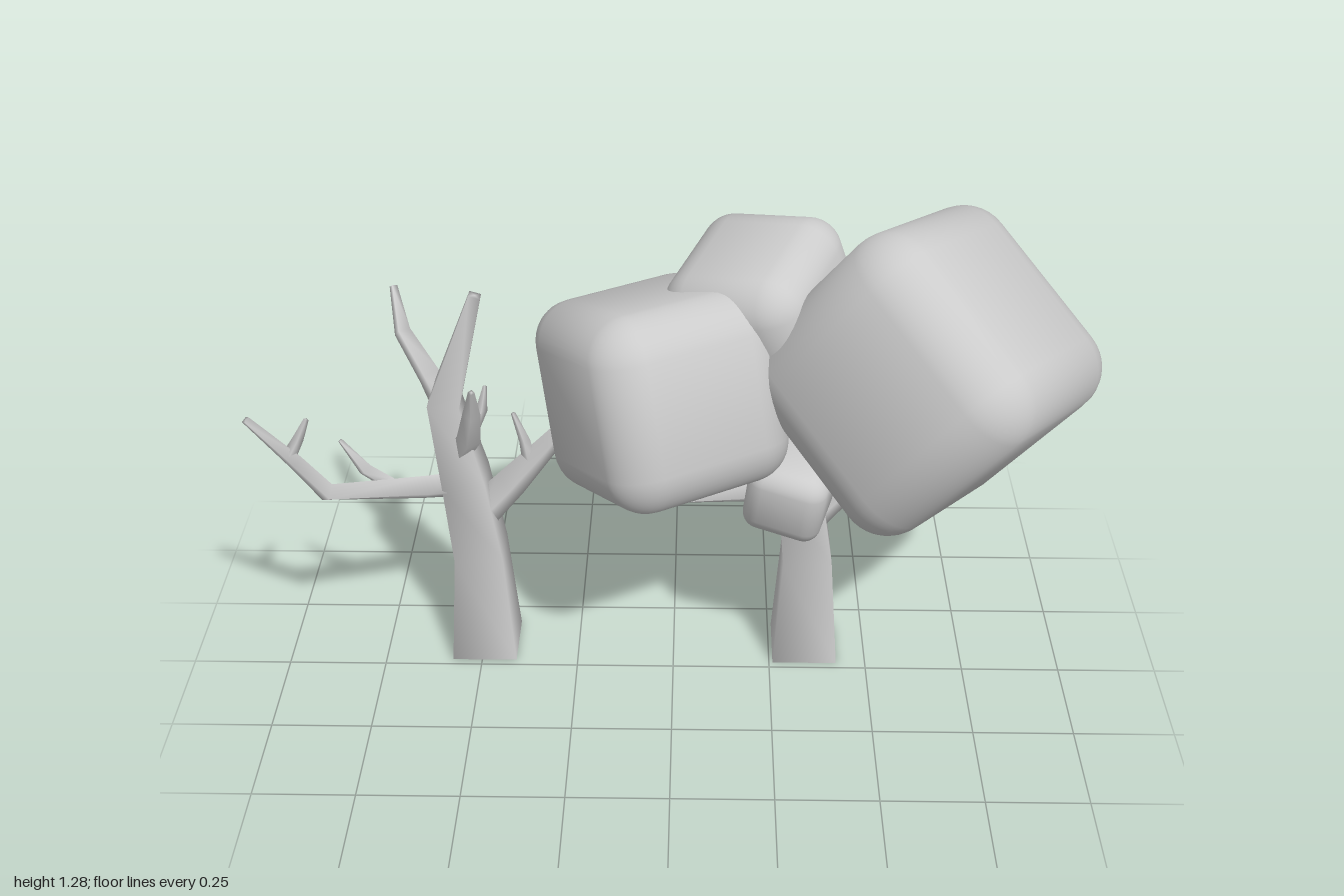
import * as THREE from 'three';
import { RoundedBoxGeometry } from 'three/addons/geometries/RoundedBoxGeometry.js';

const material = new THREE.MeshStandardMaterial({ color: 0xcccccc, side: THREE.DoubleSide });
const V = (p) => new THREE.Vector3(p[0], p[1], p[2]);

// Four-sided tapering limb through points [x, y, z, radius], open at its foot, closed at its tip
function limb(name, points, turn = 0) {
  const n = points.length, pos = [], index = [];
  for (let i = 0; i <= n; i++) {
    const k = Math.min(i, n - 1), c = V(points[k]);
    const t = V(points[Math.min(k + 1, n - 1)]).sub(V(points[Math.max(k - 1, 0)])).normalize();
    if (turn && k === 0) t.set(0, 1, 0);
    const u = new THREE.Vector3().crossVectors(t, new THREE.Vector3(0, 0, 1)).normalize();
    const v = new THREE.Vector3().crossVectors(t, u);
    const r = i === n ? 0 : points[k][3];
    for (let j = 0; j < 4; j++) {
      const a = turn + j * Math.PI / 2;
      const p = c.clone().addScaledVector(u, r * Math.cos(a)).addScaledVector(v, r * Math.sin(a));
      pos.push(p.x, p.y, p.z);
      if (i < n) {
        const A = i * 4 + j, B = i * 4 + (j + 1) % 4;
        index.push(A, B, A + 4, B, B + 4, A + 4);
      }
    }
  }
  const g = new THREE.BufferGeometry();
  g.setAttribute('position', new THREE.Float32BufferAttribute(pos, 3));
  g.setIndex(index);
  g.computeVertexNormals();
  const mesh = new THREE.Mesh(g, material);
  mesh.name = name;
  return mesh;
}

// Trunk with its forked branches
function bareTree(name) {
  const tree = new THREE.Group();
  tree.name = name;
  tree.add(
    limb('trunk', [[-0.493, 0, -0.102, 0.117], [-0.495, 0.3, -0.102, 0.087], [-0.522, 0.52, -0.102, 0.076],
      [-0.56, 0.74, -0.1, 0.055], [-0.47, 1.03, -0.1, 0.02]], Math.PI / 4),
    limb('longBranch', [[-0.52, 0.5, -0.1, 0.038], [-0.62, 0.51, -0.065, 0.034], [-0.84, 0.565, 0.045, 0.027],
      [-0.9, 0.68, 0.085, 0.021], [-0.995, 0.81, 0.112, 0.011]]),
    limb('longBranchOuterTwig', [[-0.91, 0.695, 0.085, 0.017], [-0.885, 0.74, 0.08, 0.013], [-0.862, 0.79, 0.075, 0.006]]),
    limb('longBranchInnerTwig', [[-0.69, 0.535, -0.03, 0.02], [-0.755, 0.59, -0.02, 0.018], [-0.81, 0.67, -0.025, 0.006]]),
    limb('shortBranch', [[-0.5, 0.4, -0.1, 0.05], [-0.41, 0.5, -0.1, 0.042], [-0.31, 0.61, -0.115, 0.028],
      [-0.235, 0.705, -0.12, 0.012]]),
    limb('shortBranchTwig', [[-0.36, 0.56, -0.105, 0.018], [-0.37, 0.62, -0.11, 0.014], [-0.395, 0.7, -0.11, 0.006]]),
    limb('rearBranch', [[-0.55, 0.7, -0.1, 0.035], [-0.6, 0.78, -0.15, 0.03], [-0.67, 0.865, -0.22, 0.022],
      [-0.695, 0.955, -0.29, 0.01]]),
    limb('frontBranch', [[-0.53, 0.6, -0.09, 0.03], [-0.5, 0.66, -0.05, 0.03], [-0.485, 0.75, -0.02, 0.022],
      [-0.475, 0.84, 0.03, 0.008]]),
    limb('frontBranchTwig', [[-0.495, 0.68, -0.05, 0.018], [-0.465, 0.74, -0.06, 0.014], [-0.455, 0.8, -0.07, 0.005]])
  );
  return tree;
}

// Rounded cube of leaves, oriented by one edge direction and a second, roughly square to it
function leafCube(name, size, radius, center, edgeA, edgeB) {
  const a = V(edgeA).normalize();
  const c = new THREE.Vector3().crossVectors(a, V(edgeB)).normalize();
  const b = new THREE.Vector3().crossVectors(c, a);
  const g = new RoundedBoxGeometry(size, size, size, 5, radius);
  // Lean the normals outward for soft, pillow-like shading
  const { position, normal } = g.attributes;
  const p = new THREE.Vector3(), n = new THREE.Vector3();
  for (let i = 0; i < position.count; i++) {
    p.fromBufferAttribute(position, i).normalize();
    n.fromBufferAttribute(normal, i).lerp(p, 0.4).normalize();
    normal.setXYZ(i, n.x, n.y, n.z);
  }
  const mesh = new THREE.Mesh(g, material);
  mesh.quaternion.setFromRotationMatrix(new THREE.Matrix4().makeBasis(a, b, c));
  mesh.position.set(...center);
  mesh.name = name;
  return mesh;
}

export function createModel() {
  const model = new THREE.Group();
  model.name = 'treePair';
  model.add(bareTree('bareTree'));

  // Leafy tree: same wood, moved aside, with blocks of leaves
  const wood = bareTree('leafyTreeWood');
  wood.position.x = 0.835;
  const leaves = new THREE.Group();
  leaves.name = 'leaves';
  leaves.add(
    leafCube('largeLeaves', 0.572, 0.115, [0.592, 0.898, 0], [-0.26, 0.09, 0.38], [-0.27, 0.28, -0.3]),
    leafCube('middleLeaves', 0.47, 0.1, [-0.028, 0.828, -0.01], [-0.15, 0.95, -0.25], [0.5, 0, 0.87]),
    leafCube('rearLeaves', 0.36, 0.08, [0.218, 0.98, -0.14], [-0.3, 0.9, 0.16], [0.5, 0, -0.85]),
    leafCube('smallFrontLeaves', 0.195, 0.042, [0.287, 0.577, 0.02], [0.1, 0.97, 0.2], [0.95, 0, 0.3]),
    leafCube('smallRearLeaves', 0.145, 0.032, [0.185, 0.58, -0.17], [-0.3, 0.9, -0.3], [0.8, 0, -0.6]),
    leafCube('smallSideLeaves', 0.12, 0.027, [0.475, 0.6, -0.175], [0.3, 0.9, 0.2], [0.8, 0, 0.6])
  );
  model.add(wood, leaves);
  return model;
}
